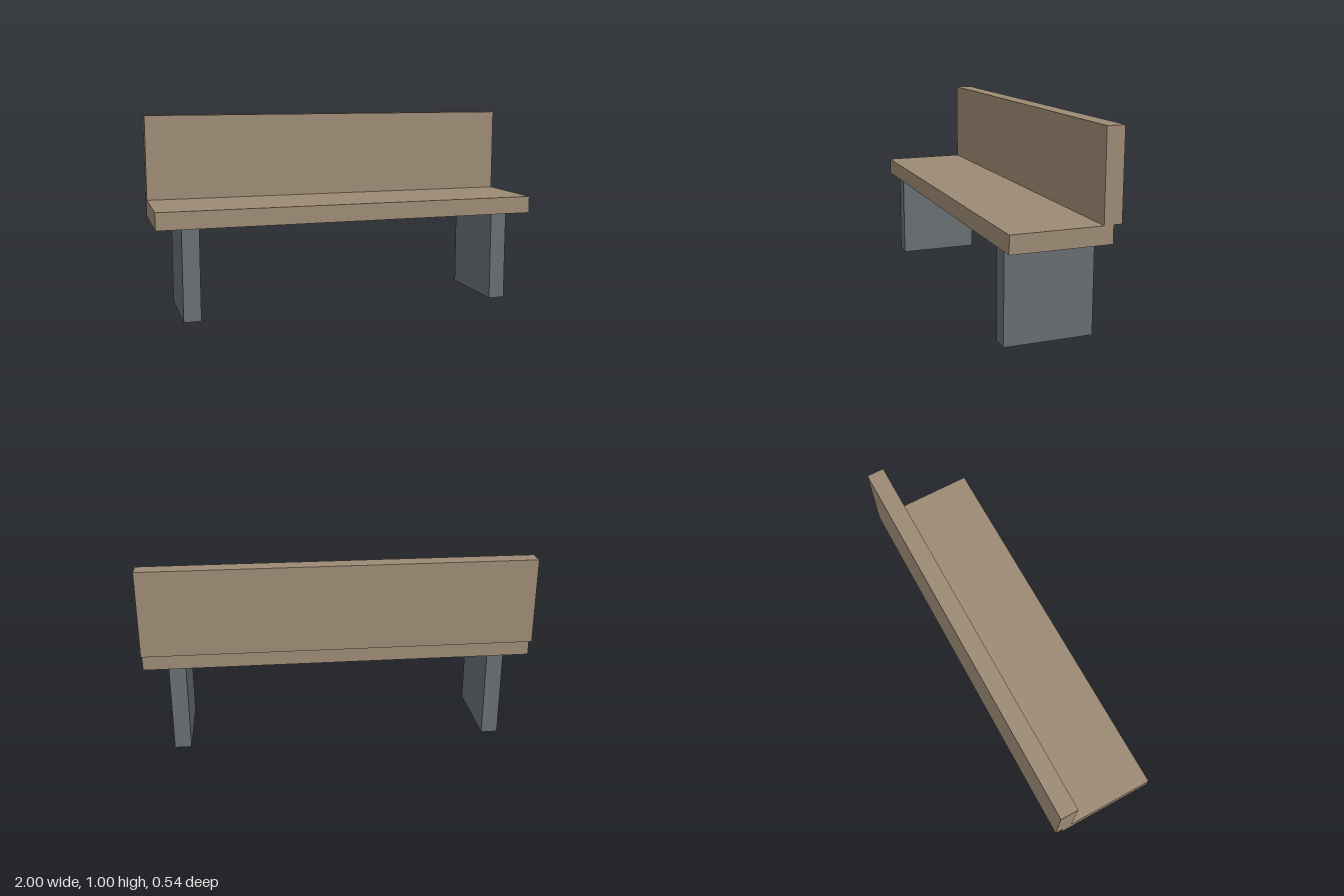
import * as THREE from 'three';

export function createModel() {
  const bench = new THREE.Group();
  bench.name = 'bench';

  const wood = new THREE.MeshStandardMaterial({ color: 0x9b8973 });
  wood.name = 'wood';
  const metal = new THREE.MeshStandardMaterial({ color: 0x666c70 });
  metal.name = 'grey metal';

  // Box given by its lower and upper corners
  function addBox(name, material, [x0, y0, z0], [x1, y1, z1]) {
    const mesh = new THREE.Mesh(new THREE.BoxGeometry(x1 - x0, y1 - y0, z1 - z0), material);
    mesh.position.set((x0 + x1) / 2, (y0 + y1) / 2, (z0 + z1) / 2);
    mesh.name = name;
    bench.add(mesh);
  }

  // Seat plank, with the backrest standing on it and overhanging its rear edge
  addBox('seat', wood, [-1, 0.468, -0.228], [1, 0.557, 0.27]);
  addBox('backrest', wood, [-1, 0.557, -0.27], [1, 1, -0.18]);

  // Slab legs under both ends
  for (const side of [-1, 1]) {
    const inner = side * 0.787, outer = side * 0.874;
    addBox(side > 0 ? 'leftLeg' : 'rightLeg', metal,
      [Math.min(inner, outer), 0, -0.202], [Math.max(inner, outer), 0.468, 0.243]);
  }

  return bench;
}
